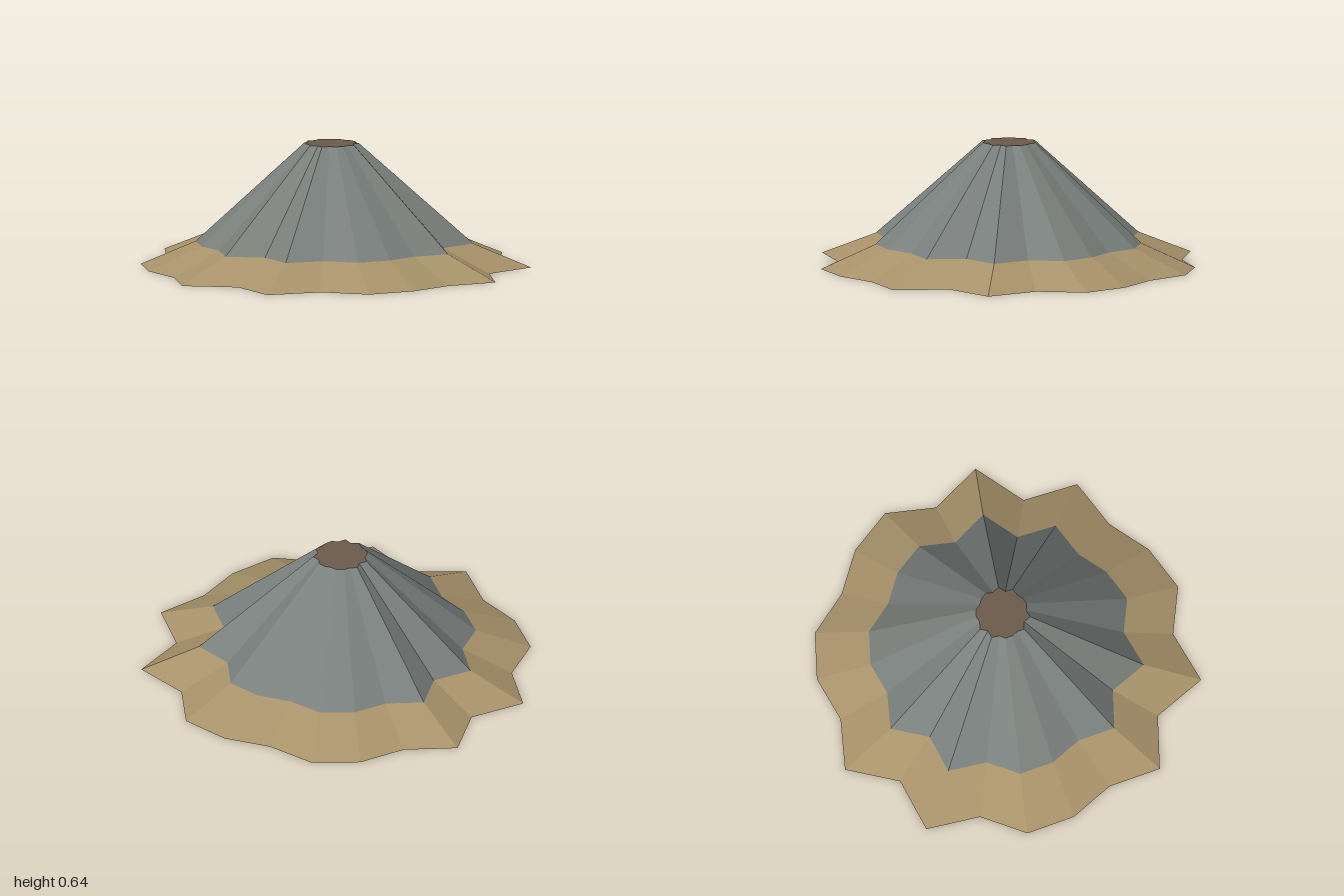
import * as THREE from 'three';

// Ridge and gully radii at the base, one every 15 degrees from +x towards +z
const RADII = [
  0.961, 0.995, 0.888, 1.043, 0.867, 1.025, 0.916, 0.962, 0.99, 0.896, 1.042, 0.874,
  1.03, 0.912, 0.965, 0.99, 0.898, 1.036, 0.873, 1.031, 0.91, 0.971, 0.981, 0.901,
];
const CENTRE_X = 0.03;

function ring(scale, y) {
  return RADII.map((r, i) => {
    const a = (i / RADII.length) * Math.PI * 2;
    return [CENTRE_X + Math.cos(a) * r * scale, y, Math.sin(a) * r * scale];
  });
}

// Flat-faceted band between two rings; a zero-size upper ring closes to a point
function band(name, lower, upper, material, closed = false) {
  const pos = [];
  lower.forEach((a, i) => {
    const j = (i + 1) % lower.length;
    pos.push(...a, ...upper[i], ...lower[j]);
    if (!closed) pos.push(...lower[j], ...upper[i], ...upper[j]);
  });
  const g = new THREE.BufferGeometry();
  g.setAttribute('position', new THREE.Float32BufferAttribute(pos, 3));
  g.computeVertexNormals();
  const mesh = new THREE.Mesh(g, material);
  mesh.name = name;
  return mesh;
}

function makeMaterial(name, color) {
  const m = new THREE.MeshStandardMaterial({ color, side: THREE.DoubleSide, flatShading: true });
  m.name = name;
  return m;
}

export function createModel() {
  const sand = makeMaterial('sand', 0xa8926a);
  const rock = makeMaterial('grey rock', 0x7a807d);
  const earth = makeMaterial('brown earth', 0x6b5b4b);

  const base = ring(1, 0);
  const shoulder = ring(0.711, 0.123);
  const rim = ring(0.14, 0.645);

  const model = new THREE.Group();
  model.name = 'mountain';
  model.add(
    band('foothills', base, shoulder, sand),
    band('slopes', shoulder, rim, rock),
    band('summit', rim, ring(0, 0.645), earth, true),
  );
  return model;
}
